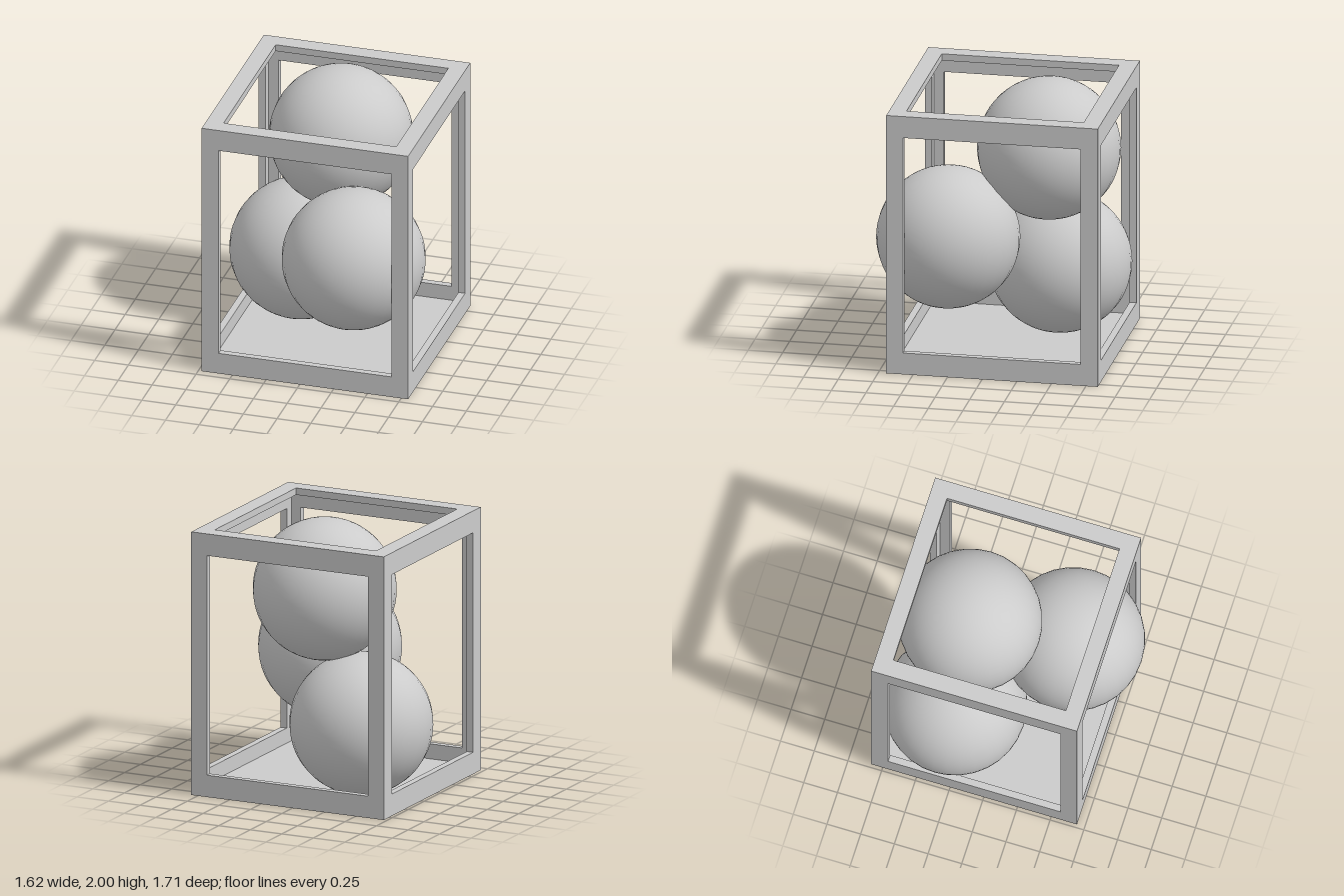
import * as THREE from 'three';

// Outer extents of the case, wall thickness and window edges
const X0 = -0.725, X1 = 0.802, Z0 = -0.836, Z1 = 0.692, H = 1.93, T = 0.05;
const WX0 = -0.6, WX1 = 0.678, WY0 = 0.16, WY1 = 1.77, WZ0 = -0.71, WZ1 = 0.57;

const material = new THREE.MeshStandardMaterial({ color: 0xcccccc });

function rectangle(path, [a0, b0, a1, b1]) {
  return path.moveTo(a0, b0).lineTo(a1, b0).lineTo(a1, b1).lineTo(a0, b1).closePath();
}

// Flat panel of thickness T with a rectangular window, extruded along +z
function windowPanel(name, outer, hole) {
  const shape = rectangle(new THREE.Shape(), outer);
  shape.holes.push(rectangle(new THREE.Path(), hole));
  const geometry = new THREE.ExtrudeGeometry(shape, { depth: T, bevelEnabled: false });
  const mesh = new THREE.Mesh(geometry, material);
  mesh.name = name;
  return mesh;
}

function createCase() {
  const group = new THREE.Group();
  group.name = 'openCase';

  // Front and back walls
  for (const [name, z] of [['frontWall', Z1 - T], ['backWall', Z0]]) {
    const wall = windowPanel(name, [X0, 0, X1, H], [WX0, WY0, WX1, WY1]);
    wall.position.z = z;
    group.add(wall);
  }

  // Side walls fit between front and back (panel x runs along -z)
  for (const [name, x] of [['leftWall', X1 - T], ['rightWall', X0]]) {
    const wall = windowPanel(name, [-Z1 + T, 0, -Z0 - T, H], [-WZ1, WY0, -WZ0, WY1]);
    wall.rotation.y = Math.PI / 2;
    wall.position.x = x;
    group.add(wall);
  }

  // Top frame fits inside the four walls (panel y runs along -z)
  const top = windowPanel('topFrame', [X0 + T, -Z1 + T, X1 - T, -Z0 - T], [WX0, -WZ1, WX1, -WZ0]);
  top.rotation.x = -Math.PI / 2;
  top.position.y = H - T;
  group.add(top);

  // Solid floor
  const floor = new THREE.Mesh(new THREE.BoxGeometry(X1 - X0 - 2 * T, T, Z1 - Z0 - 2 * T), material);
  floor.name = 'floor';
  floor.position.set((X0 + X1) / 2, T / 2, (Z0 + Z1) / 2);
  group.add(floor);
  return group;
}

export function createModel() {
  const model = new THREE.Group();
  model.name = 'ballsInCase';
  model.add(createCase());

  // Three stacked balls, slightly poking through the walls
  const ball = new THREE.SphereGeometry(0.511, 32, 32);
  const balls = [
    ['lowerBall', -0.3, 0.543, -0.345],
    ['middleBall', 0.295, 0.878, 0.345],
    ['upperBall', 0, 1.489, -0.325],
  ];
  for (const [name, x, y, z] of balls) {
    const mesh = new THREE.Mesh(ball, material);
    mesh.name = name;
    mesh.position.set(x, y, z);
    model.add(mesh);
  }
  return model;
}
